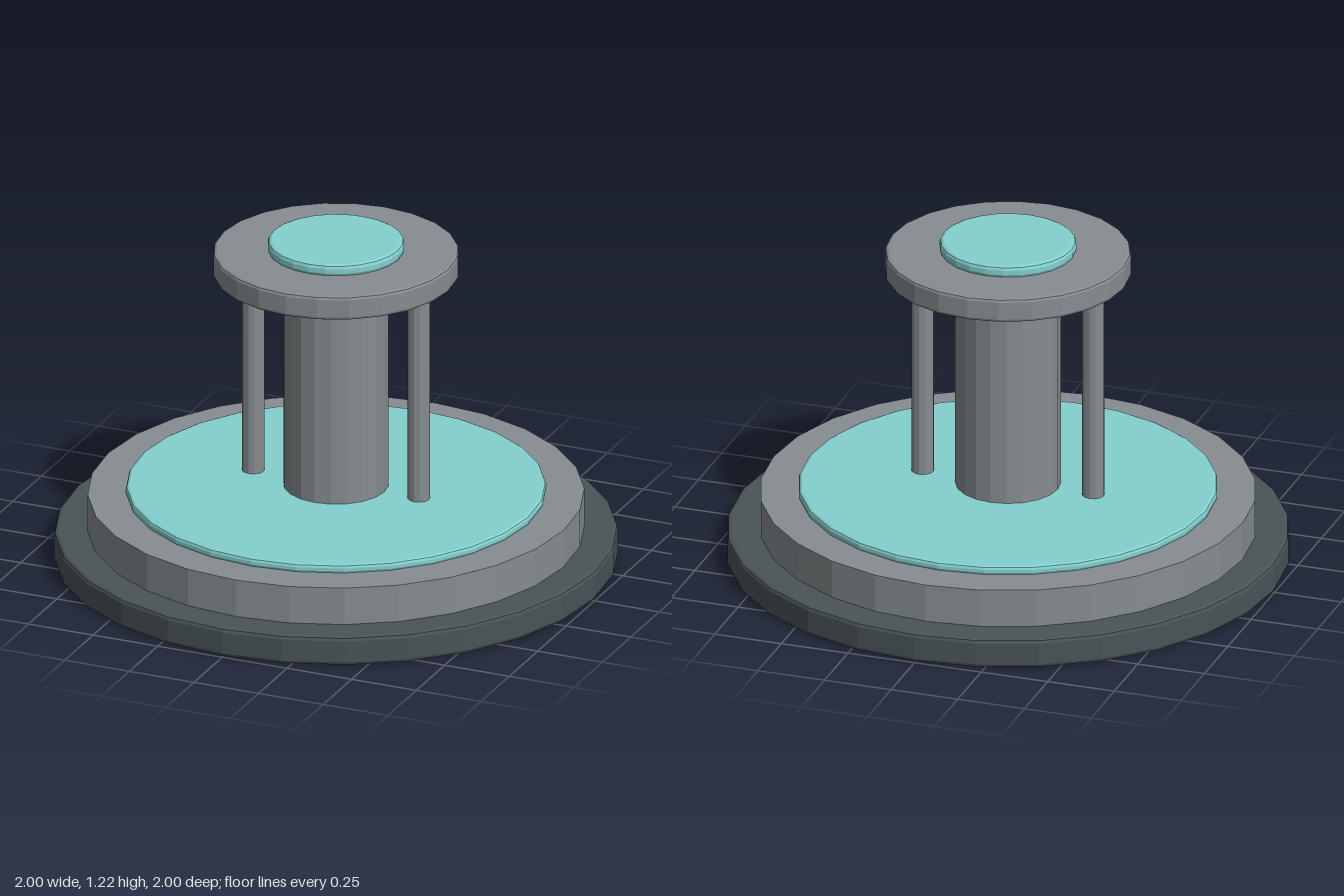
import * as THREE from 'three';

const material = (name, color) => {
  const m = new THREE.MeshStandardMaterial({ color, flatShading: true });
  m.name = name;
  return m;
};

export function createModel() {
  const group = new THREE.Group();
  const dark = material('darkSlate', 0x495357);
  const grey = material('midGrey', 0x868d90);
  const teal = material('paleTeal', 0x84d0cf);

  // Faceted disc between two heights, with optional bevelled rims
  function disc(name, mat, radius, bottom, top, sides, bevel = 0, x = 0) {
    const profile = bevel
      ? [[0, bottom], [radius - bevel, bottom], [radius - bevel * 0.3, bottom + bevel * 0.3],
         [radius, bottom + bevel], [radius, top - bevel],
         [radius - bevel * 0.3, top - bevel * 0.3], [radius - bevel, top], [0, top]]
      : [[0, bottom], [radius, bottom], [radius, top], [0, top]];
    const points = profile.map(([r, y]) => new THREE.Vector2(r, y));
    const mesh = new THREE.Mesh(new THREE.LatheGeometry(points, sides), mat);
    mesh.name = name;
    mesh.position.x = x;
    group.add(mesh);
  }

  // Stepped base
  disc('basePlate', dark, 1, 0, 0.11, 28, 0.015);
  disc('baseStep', grey, 0.88, 0.1, 0.25, 28);
  disc('baseInlay', teal, 0.745, 0.245, 0.28, 28, 0.012);

  // Central column with its top plate and cap
  disc('column', grey, 0.187, 0.26, 1.1, 20);
  disc('topPlate', grey, 0.437, 1.09, 1.18, 24, 0.012);
  disc('topCap', teal, 0.243, 1.175, 1.22, 24, 0.014);

  // Side rods, stopping just short of the top plate
  for (const side of [-1, 1]) {
    disc(side > 0 ? 'leftRod' : 'rightRod', grey, 0.04, 0.26, 1.07, 12, 0, side * 0.32);
  }
  return group;
}
